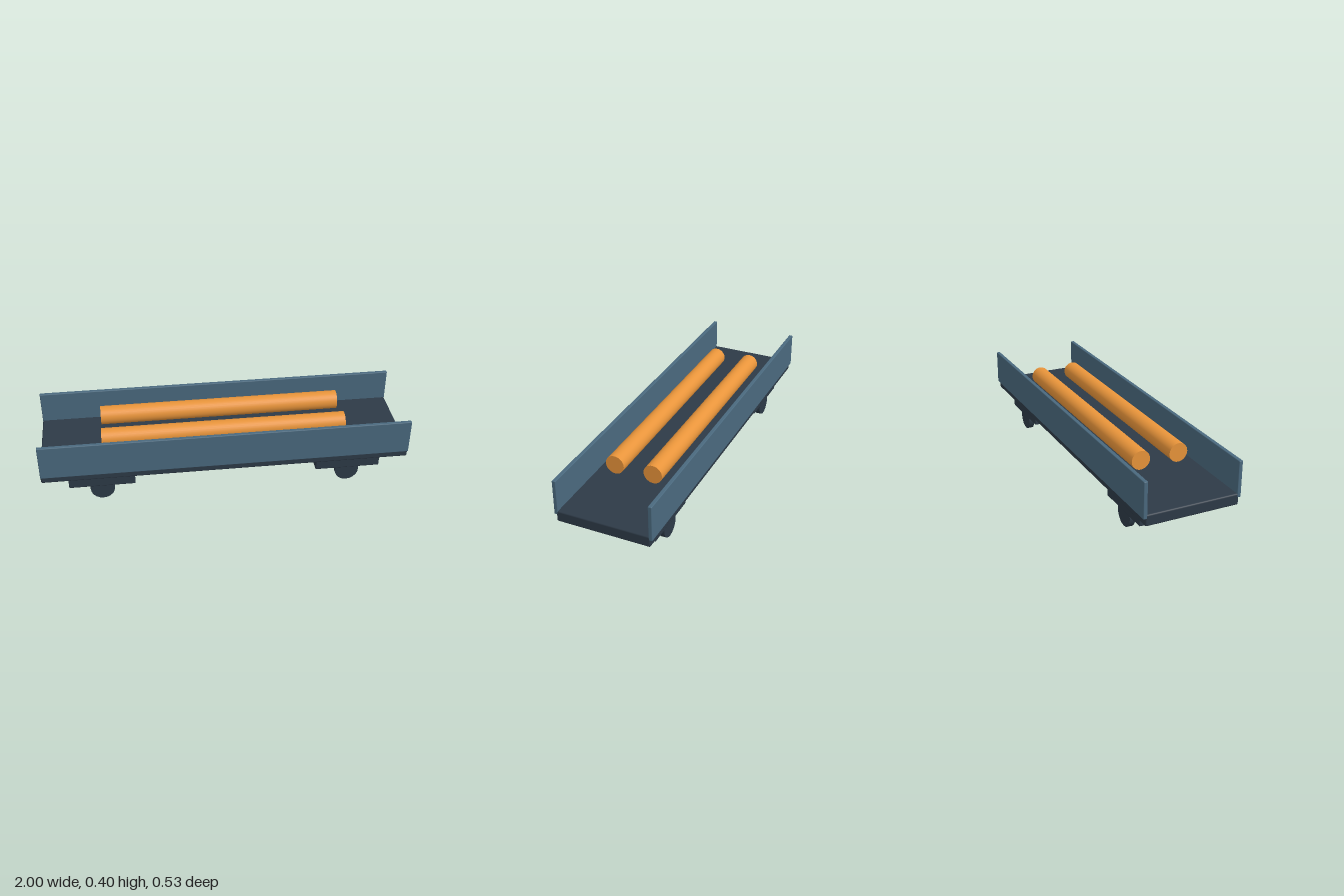
import * as THREE from 'three';
import { RoundedBoxGeometry } from 'three/addons/geometries/RoundedBoxGeometry.js';

const paint = (color) => new THREE.MeshStandardMaterial({ color });

export function createModel() {
  const model = new THREE.Group();
  model.name = 'flatWagon';
  const dark = paint(0x2d3a47);
  const steel = paint(0x4a697e);
  const orange = paint(0xe8943a);

  const add = (name, geometry, material, x, y, z) => {
    const mesh = new THREE.Mesh(geometry, material);
    mesh.name = name;
    mesh.position.set(x, y, z);
    model.add(mesh);
    return mesh;
  };

  // Deck
  add('deck', new RoundedBoxGeometry(2, 0.061, 0.508, 2, 0.008), dark, 0, 0.1995, 0);

  const wallGeometry = new RoundedBoxGeometry(2, 0.195, 0.021, 2, 0.004);
  const rollGeometry = new THREE.CylinderGeometry(0.051, 0.051, 1.33, 32).rotateZ(Math.PI / 2);
  const bogieGeometry = new RoundedBoxGeometry(0.36, 0.059, 0.424, 2, 0.006);
  const wheelGeometry = new THREE.CylinderGeometry(0.066, 0.066, 0.03, 20).rotateX(Math.PI / 2);

  // Side walls and the two long rolls of cargo
  for (const side of [1, -1]) {
    const label = side > 0 ? 'front' : 'back';
    add(label + 'Wall', wallGeometry, steel, 0, 0.3065, side * 0.2555);
    add(label + 'CargoRoll', rollGeometry, orange, 0, 0.336, side * 0.106);
  }

  // Bogies, each with one pair of wheels
  for (const end of [1, -1]) {
    const label = end > 0 ? 'left' : 'right';
    add(label + 'Bogie', bogieGeometry, dark, end * 0.68, 0.1165, 0);
    for (const side of [1, -1]) {
      add(label + (side > 0 ? 'Front' : 'Back') + 'Wheel', wheelGeometry, dark, end * 0.68, 0.066, side * 0.19);
    }
  }
  return model;
}
